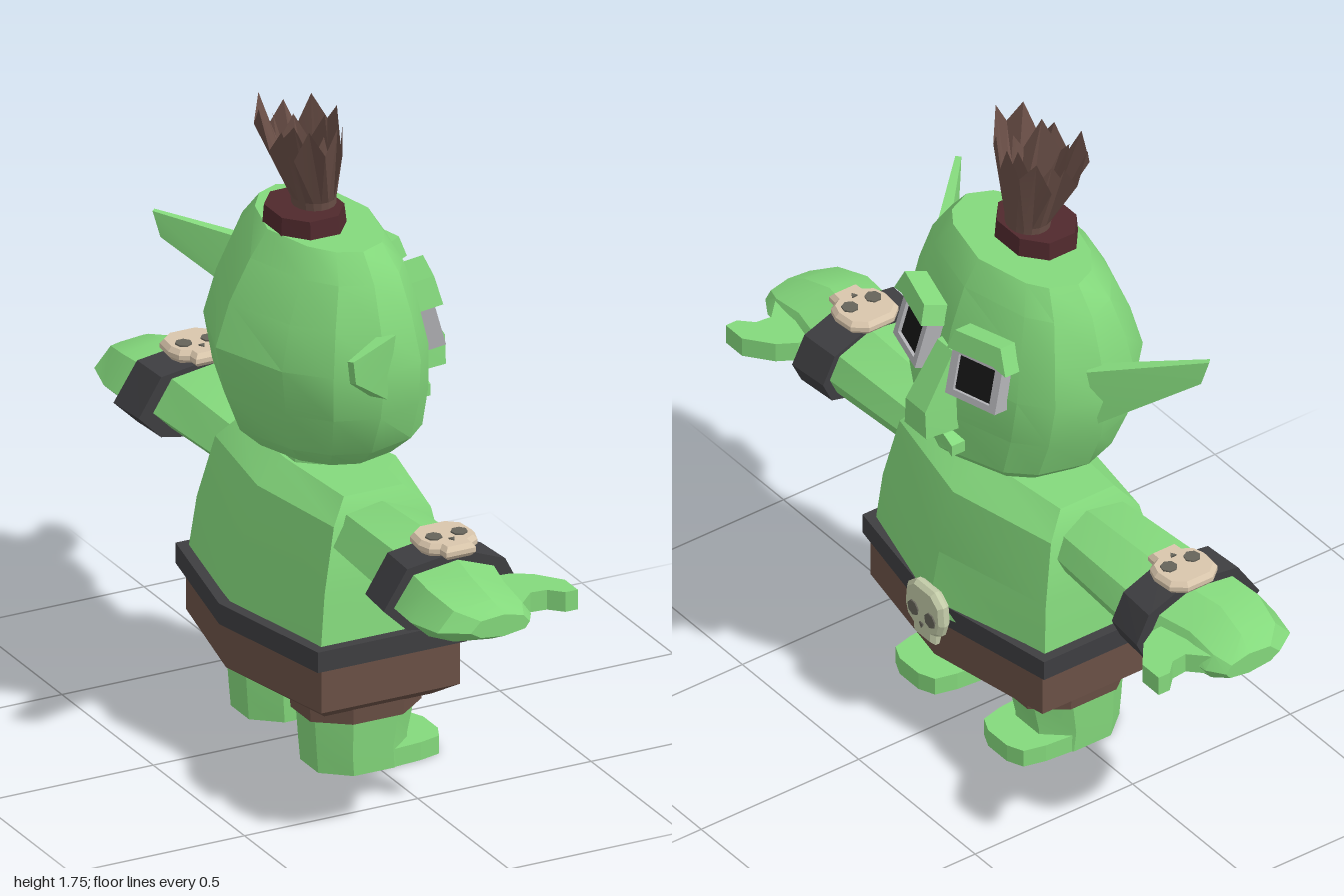
import * as THREE from 'three';
import { toCreasedNormals } from 'three/addons/utils/BufferGeometryUtils.js';
import { ConvexGeometry } from 'three/addons/geometries/ConvexGeometry.js';

const mat = (color, side = THREE.FrontSide) => new THREE.MeshStandardMaterial({ color, side });
const SKIN = mat(0x84d97c), LEATHER = mat(0x3e3e41), CLOTH = mat(0x6b5146);
const HAIR = mat(0x6a4f47, THREE.DoubleSide), TIE = mat(0x50292d);
const BONE = mat(0xd9c6ac), OLD_BONE = mat(0xc3cba8), SOCKET = mat(0x66645a);
const EYE_RIM = mat(0xb4b4b8), EYE = mat(0x161616);

function add(parent, name, geometry, material) {
  const mesh = new THREE.Mesh(geometry, material);
  mesh.name = name;
  parent.add(mesh);
  return mesh;
}

// Skin a list of equal-length rings; orientation is fixed from the signed volume
function loft(rings, { cap = true, crease = 0.45 } = {}) {
  const n = rings[0].length, tris = [];
  const v = (p) => new THREE.Vector3(...p);
  for (let i = 0; i < rings.length - 1; i++) {
    for (let j = 0; j < n; j++) {
      const k = (j + 1) % n, a = v(rings[i][j]), b = v(rings[i][k]), c = v(rings[i + 1][k]), d = v(rings[i + 1][j]);
      tris.push([a, b, c], [a, c, d]);
    }
  }
  if (cap) {
    const first = rings[0], last = rings[rings.length - 1];
    for (let j = 1; j < n - 1; j++) {
      tris.push([v(first[0]), v(first[j + 1]), v(first[j])], [v(last[0]), v(last[j]), v(last[j + 1])]);
    }
  }
  const volume = tris.reduce((t, [a, b, c]) => t + a.dot(b.clone().cross(c)), 0);
  if (volume < 0) tris.forEach((t) => t.reverse());
  return toCreasedNormals(new THREE.BufferGeometry().setFromPoints(tris.flat()), crease);
}

const shapeOf = (pts) => new THREE.Shape(pts.map(([x, y]) => new THREE.Vector2(x, y)));
const slab = (shape, depth) => new THREE.ExtrudeGeometry(shape, { depth, bevelEnabled: false });

// Six-sided body section, pointed at front and back
const bodyRing = ([y, front, cf, cb, back, w]) =>
  [[front, y, 0], [cf, y, w], [cb, y, w], [back, y, 0], [cb, y, -w], [cf, y, -w]];

// Eight-sided section standing on the ground plane
const OCT = [[1, 0.45], [0.45, 1], [-0.45, 1], [-1, 0.45], [-1, -0.45], [-0.45, -1], [0.45, -1], [1, -0.45]];
const octRing = ([y, cx, hx, cz, hz]) => OCT.map(([x, z]) => [cx + x * hx, y, cz + z * hz]);

// Arm section, flatter underneath
const ARM = [[-1, -0.15], [-0.65, 0.8], [0.15, 1], [0.8, 0.55], [1, -0.15], [0.85, -0.7], [0.15, -1], [-0.65, -0.75]];
const armRing = (s) => ([z, cx, hx, cy, hy]) => ARM.map(([x, y]) => [cx + x * hx, cy + y * hy, z * s]);

// Head section: flat-angled face, round back
const FACE = [[1, 0], [0.75, 0.65], [0.5, 0.87], [0, 1], [-0.42, 0.88], [-0.74, 0.6]];
function headRing([y, front, back, w]) {
  const c = -0.02;
  const half = FACE.map(([x, z]) => [c + x * (x > 0 ? front - c : c - back), y, z * w]);
  return [...half, [back, y, 0], ...half.slice(1).reverse().map(([x, h, z]) => [x, h, -z])];
}

// Skull ornament facing local +z
function skull(material) {
  const g = new THREE.Group();
  g.name = 'skullOrnament';
  const half = [[0.035, 0.075], [0.065, 0.05], [0.07, 0], [0.06, -0.03], [0.035, -0.045], [0.033, -0.07]];
  const outline = shapeOf([...half, ...half.map(([x, y]) => [-x, y]).reverse()]);
  add(g, 'skullBone', new THREE.ExtrudeGeometry(outline,
    { depth: 0.012, bevelThickness: 0.012, bevelSize: 0.01, bevelSegments: 1 }), material);
  for (const s of [1, -1]) {
    add(g, 'eyeSocket', new THREE.CylinderGeometry(0.022, 0.022, 0.006, 7).rotateX(Math.PI / 2), SOCKET)
      .position.set(s * 0.036, 0, 0.025);
  }
  add(g, 'noseHole', new THREE.CylinderGeometry(0.01, 0.01, 0.006, 3).rotateX(Math.PI / 2), SOCKET)
    .position.set(0, -0.033, 0.025);
  return g;
}

function arm(s) {
  const g = new THREE.Group();
  g.name = s > 0 ? 'armPositiveZ' : 'armNegativeZ';
  const ring = armRing(s);
  add(g, 'armAndHand', loft([
    [0.26, -0.02, 0.13, 0.675, 0.07], [0.32, -0.02, 0.135, 0.68, 0.078], [0.64, -0.02, 0.155, 0.685, 0.09],
    [0.74, -0.035, 0.16, 0.68, 0.085], [0.84, -0.05, 0.15, 0.68, 0.082], [0.94, -0.04, 0.135, 0.68, 0.055],
    [0.99, -0.02, 0.085, 0.68, 0.03]].map(ring), { crease: 0.35 }), SKIN);
  add(g, 'wristBand', loft([[0.62, -0.03, 0.185, 0.68, 0.108], [0.74, -0.03, 0.195, 0.68, 0.11]].map(ring)), LEATHER);
  const thumb = [[0.03, 0.75], [0.13, 0.76], [0.18, 0.79], [0.235, 0.86], [0.235, 0.93],
    [0.2, 0.93], [0.165, 0.895], [0.12, 0.89], [0.06, 0.95]];
  add(g, 'thumb', slab(shapeOf(thumb.map(([x, z]) => [x, z * s])), 0.055).rotateX(Math.PI / 2), SKIN).position.y = 0.705;
  const badge = skull(BONE);
  badge.rotation.x = -Math.PI / 2;
  badge.scale.setScalar(1.02);
  badge.position.set(-0.015, 0.79, 0.685 * s);
  g.add(badge);
  return g;
}

function leg(s) {
  const g = new THREE.Group(), z = 0.19 * s;
  g.name = s > 0 ? 'legPositiveZ' : 'legNegativeZ';
  add(g, 'shin', loft([[0, -0.02, 0.13, z, 0.11], [0.06, -0.025, 0.13, z, 0.113], [0.2, -0.015, 0.15, z, 0.118]].map(octRing)), SKIN);
  add(g, 'trouserCuff', loft([[0.15, -0.015, 0.16, z, 0.122], [0.23, -0.015, 0.165, z, 0.13]].map(octRing)), CLOTH);
  const toe = [[0, -0.11], [0.12, -0.1], [0.18, -0.085], [0.2, -0.04], [0.2, 0.04], [0.18, 0.085], [0.12, 0.1], [0, 0.11]];
  add(g, 'toes', slab(shapeOf(toe), 0.05).rotateX(Math.PI / 2), SKIN).position.set(0, 0.05, z);
  return g;
}

function eye(s) {
  const g = new THREE.Group();
  g.name = s > 0 ? 'eyePositiveZ' : 'eyeNegativeZ';
  const rect = (w, h) => [[-w, -h], [w, -h], [w, h], [-w, h]];
  const rim = shapeOf(rect(0.08, 0.068));
  rim.holes.push(shapeOf(rect(0.058, 0.05)));
  add(g, 'eyeRim', slab(rim, 0.06).rotateY(Math.PI / 2), EYE_RIM).position.x = -0.035;
  add(g, 'eyeball', new THREE.BoxGeometry(0.05, 0.1, 0.116), EYE).position.x = -0.01;
  const brow = [[-0.085, 0.065], [-0.07, 0.12], [0.075, 0.125], [0.105, 0.055], [0.06, 0.068]];
  add(g, 'brow', slab(shapeOf(brow.map(([u, y]) => [-u * s, y])), 0.08).rotateY(Math.PI / 2), SKIN).position.x = -0.035;
  g.rotation.set(0, -0.28 * s, 0.26, 'YZX');
  g.position.set(0.212, 1.17, 0.13 * s);
  return g;
}

function ear(s) {
  // Thin blade swept outwards and back
  const pts = [];
  for (const d of [-0.014, 0.014]) {
    for (const [x, y, z] of [[0.01, 1.225, 0.32], [-0.02, 1.055, 0.33], [-0.2, 1.21, 0.525], [-0.215, 1.28, 0.54]]) {
      const t = z > 0.5 ? 0.4 : 1;
      pts.push(new THREE.Vector3(x + d * t, y, (z + d * t) * s));
    }
  }
  return toCreasedNormals(new ConvexGeometry(pts), 0.4);
}

// Jagged open tuft, wider at the top
function tuft(n, scale, lift) {
  const ring = (y, cx, hx, hz, jag) => Array.from({ length: n }, (_, i) => {
    const a = (i / n) * Math.PI * 2, wob = Math.sin(i * 5.3);
    const k = jag ? 1 + 0.1 * wob : 1;
    const h = jag ? (i % 2 ? -0.055 : 0.02) + 0.02 * wob : 0;
    return [cx + Math.cos(a) * hx * k * scale, y + h, Math.sin(a) * hz * k * scale];
  });
  return loft([ring(1.45, -0.035, 0.055, 0.06), ring(1.5, -0.038, 0.058, 0.065), ring(1.715 + lift, -0.07, 0.1, 0.15, true)],
    { cap: false, crease: 0.2 });
}

export function createModel() {
  const model = new THREE.Group();
  model.name = 'creature';

  // Body and clothes
  add(model, 'torso', loft([[0.38, 0.28, 0.18, -0.21, -0.285, 0.365], [0.55, 0.245, 0.165, -0.19, -0.25, 0.35],
    [0.72, 0.2, 0.13, -0.15, -0.2, 0.325], [0.78, 0.1, 0.07, -0.1, -0.12, 0.285]].map(bodyRing)), SKIN);
  add(model, 'belt', loft([[0.355, 0.275, 0.2, -0.23, -0.31, 0.39], [0.412, 0.27, 0.2, -0.23, -0.31, 0.39]].map(bodyRing)), LEATHER);
  add(model, 'skirt', loft([[0.19, 0.18, 0.14, -0.17, -0.22, 0.31], [0.23, 0.26, 0.19, -0.21, -0.29, 0.37],
    [0.37, 0.26, 0.19, -0.21, -0.29, 0.37]].map(bodyRing)), CLOTH);
  const buckle = skull(OLD_BONE);
  buckle.rotation.y = Math.PI / 2;
  buckle.position.set(0.275, 0.375, 0);
  model.add(buckle);
  add(model, 'neck', loft([[0.76, -0.015, 0.095, 0, 0.08], [0.86, -0.015, 0.095, 0, 0.08]].map(octRing)), SKIN);

  // Head
  add(model, 'head', loft([[0.83, 0.19, -0.19, 0.22], [0.885, 0.245, -0.25, 0.285], [1.0, 0.245, -0.295, 0.335],
    [1.13, 0.235, -0.32, 0.36], [1.25, 0.205, -0.28, 0.335], [1.36, 0.165, -0.22, 0.3],
    [1.43, 0.12, -0.17, 0.24]].map(headRing)), SKIN);
  add(model, 'nose', loft([
    [0.97, 0.22, 0.32, 0.058], [1.05, 0.2, 0.32, 0.052], [1.2, 0.18, 0.225, 0.042]].map(([y, b, f, w]) =>
    [[f, y, w * 0.8], [b, y, w], [b, y, -w], [f, y, -w * 0.8]])), SKIN);
  const lip = [[-0.075, -0.025], [-0.045, -0.01], [0.045, -0.01], [0.075, -0.025], [0.075, 0.008], [0.04, 0.025], [-0.04, 0.025], [-0.075, 0.008]];
  add(model, 'upperLip', slab(shapeOf(lip), 0.06).rotateY(Math.PI / 2), SKIN).position.set(0.2, 0.93, 0);

  // Hair
  add(model, 'hairTie', loft([[1.425, -0.035, 0.095, 0, 0.115], [1.48, -0.035, 0.09, 0, 0.11]].map(octRing)), TIE).rotation.z = 0.02;
  add(model, 'hairTuft', tuft(18, 1, 0), HAIR);
  add(model, 'innerHair', tuft(10, 0.65, -0.02), HAIR);

  // Mirrored parts
  for (const s of [1, -1]) {
    model.add(arm(s), leg(s), eye(s));
    add(model, s > 0 ? 'earPositiveZ' : 'earNegativeZ', ear(s), SKIN);
  }
  return model;
}
